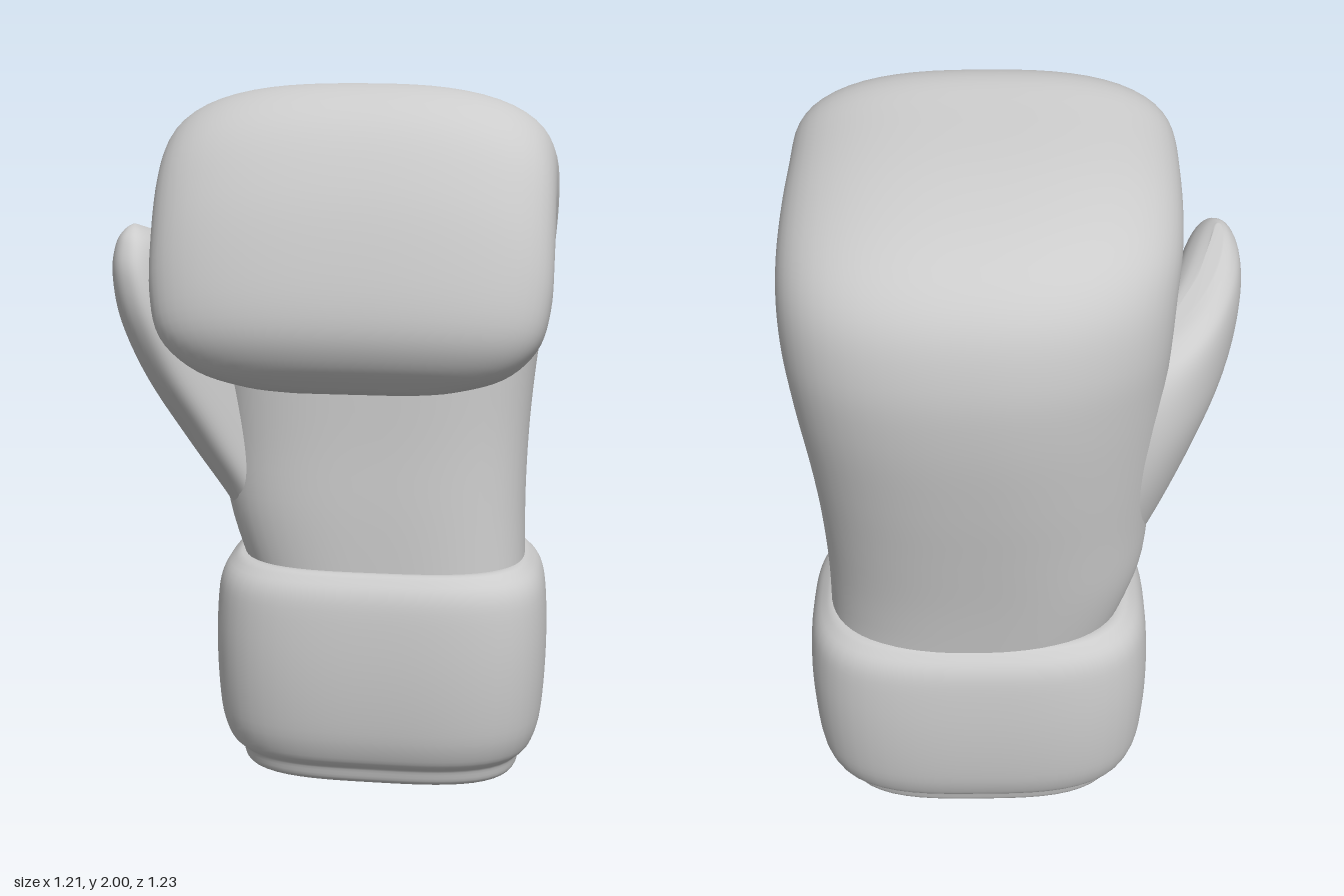
import * as THREE from 'three';

const AROUND = 72;

// Catmull-Rom interpolation of whole table rows
function smoothRows(rows, steps) {
  const out = [];
  const at = (i) => rows[Math.max(0, Math.min(rows.length - 1, i))];
  for (let i = 0; i < rows.length - 1; i++) {
    for (let s = 0; s < steps; s++) {
      const t = s / steps;
      out.push(at(i).map((p1, k) => {
        const p0 = at(i - 1)[k], p2 = at(i + 1)[k], p3 = at(i + 2)[k];
        return 0.5 * (2 * p1 + (p2 - p0) * t + (2 * p0 - 5 * p1 + 4 * p2 - p3) * t * t
          + (3 * p1 - p0 - 3 * p2 + p3) * t * t * t);
      }));
    }
  }
  out.push(rows[rows.length - 1]);
  return out;
}

// Closed superellipse ring; exponent(c, s) picks the squareness of each corner
function ring(exponent, place) {
  return Array.from({ length: AROUND }, (_, j) => {
    const a = (j / AROUND) * Math.PI * 2, c = Math.cos(a), s = Math.sin(a);
    const n = exponent(c, s);
    const r = Math.pow(Math.pow(Math.abs(c), n) + Math.pow(Math.abs(s), n), -1 / n);
    return place(c * r, s * r);
  });
}

// Skin over a stack of rings, with optional fans closing the ends
function loft(rings, capStart, capEnd) {
  const positions = [], index = [];
  rings.forEach((r) => r.forEach((p) => positions.push(p.x, p.y, p.z)));
  for (let i = 0; i < rings.length - 1; i++) {
    for (let j = 0; j < AROUND; j++) {
      const k = (j + 1) % AROUND;
      const a = i * AROUND + j, b = i * AROUND + k;
      index.push(a, b, b + AROUND, a, b + AROUND, a + AROUND);
    }
  }
  const cap = (i, flip) => {
    const centre = new THREE.Vector3();
    rings[i].forEach((p) => centre.addScaledVector(p, 1 / AROUND));
    const m = positions.length / 3;
    positions.push(centre.x, centre.y, centre.z);
    for (let j = 0; j < AROUND; j++) {
      const a = i * AROUND + j, b = i * AROUND + ((j + 1) % AROUND);
      if (flip) index.push(b, a, m); else index.push(a, b, m);
    }
  };
  if (capStart) cap(0, true);
  if (capEnd) cap(rings.length - 1, false);
  const g = new THREE.BufferGeometry();
  g.setAttribute('position', new THREE.Float32BufferAttribute(positions, 3));
  g.setIndex(index);
  g.computeVertexNormals();
  return g;
}

// Hand: sections run from the palm side to the knuckle side and curl over.
// palm z, palm y, knuckle z, knuckle y, x min, x max, corner squareness
const HAND = [
  [0.10, 0.60, -0.48, 0.60, -0.27, 0.54, 2.7],
  [0.095, 0.80, -0.51, 0.80, -0.335, 0.535, 2.4],
  [0.085, 1.00, -0.545, 1.00, -0.35, 0.54, 2.2],
  [0.08, 1.18, -0.58, 1.20, -0.36, 0.555, 2.1],
  [0.075, 1.36, -0.61, 1.42, -0.37, 0.58, 2.05],
  [0.08, 1.46, -0.61, 1.60, -0.38, 0.597, 2.1],
  [0.10, 1.51, -0.56, 1.76, -0.39, 0.605, 2.2],
  [0.13, 1.535, -0.43, 1.87, -0.405, 0.607, 2.4],
  [0.16, 1.54, -0.20, 1.945, -0.415, 0.605, 2.6],
  [0.19, 1.535, 0.08, 1.985, -0.42, 0.60, 2.7],
  [0.22, 1.515, 0.27, 1.997, -0.42, 0.60, 2.7],
  [0.25, 1.47, 0.42, 1.92, -0.42, 0.60, 2.7],
  [0.27, 1.42, 0.525, 1.76, -0.42, 0.60, 2.7],
  [0.30, 1.36, 0.59, 1.58, -0.415, 0.595, 2.7],
  [0.33, 1.305, 0.617, 1.43, -0.385, 0.565, 2.7],
  [0.38, 1.255, 0.59, 1.33, -0.295, 0.485, 2.7],
  [0.43, 1.238, 0.53, 1.265, -0.165, 0.36, 2.6],
  [0.46, 1.235, 0.49, 1.243, -0.05, 0.25, 2.4],
];

function handGeometry() {
  const rings = smoothRows(HAND, 5).map(([iz, iy, oz, oy, x0, x1, n]) => ring(
    (c, s) => (s < 0 ? 3 : c < 0 ? n : Math.max(n, 2.6)),
    (u, v) => new THREE.Vector3(
      (x0 + x1) / 2 + u * (x1 - x0) / 2,
      (iy + oy) / 2 + v * (oy - iy) / 2,
      (iz + oz) / 2 + v * (oz - iz) / 2,
    ),
  ));
  return loft(rings, false, true);
}

// Thumb: back point xyz (sunk in the hand), front point xyz, half thickness, bow
const THUMB = [
  [-0.18, 0.64, -0.34, -0.19, 0.64, -0.04, 0.05, 0.00],
  [-0.18, 0.79, -0.36, -0.26, 0.80, -0.01, 0.08, 0.01],
  [-0.21, 0.95, -0.38, -0.36, 1.00, 0.085, 0.10, 0.02],
  [-0.25, 1.12, -0.40, -0.45, 1.20, 0.19, 0.11, 0.03],
  [-0.28, 1.26, -0.40, -0.505, 1.37, 0.25, 0.11, 0.045],
  [-0.30, 1.38, -0.38, -0.53, 1.50, 0.255, 0.10, 0.05],
  [-0.32, 1.46, -0.34, -0.535, 1.58, 0.22, 0.085, 0.045],
  [-0.34, 1.50, -0.28, -0.535, 1.615, 0.175, 0.055, 0.04],
  [-0.37, 1.52, -0.22, -0.535, 1.625, 0.13, 0.02, 0.03],
];

function thumbGeometry() {
  const rings = smoothRows(THUMB, 5).map(([ax, ay, az, bx, by, bz, t, bow]) => {
    const back = new THREE.Vector3(ax, ay, az), front = new THREE.Vector3(bx, by, bz);
    const mid = back.clone().add(front).multiplyScalar(0.5);
    const half = front.clone().sub(mid);
    const side = new THREE.Vector3(-half.z, 0, half.x).normalize();
    return ring(() => 2.5, (u, v) => mid.clone().addScaledVector(half, v)
      .addScaledVector(side, u * t + bow * (1 - v * v)));
  });
  return loft(rings, true, true);
}

// Cuff: y, half width, half depth; starts inside the opening, round the lip, up outside
const CUFF = [
  [1.05, 0.20, 0.12], [1.00, 0.32, 0.19], [0.90, 0.36, 0.215], [0.50, 0.37, 0.235],
  [0.03, 0.37, 0.235], [0.005, 0.378, 0.243], [0, 0.39, 0.255], [0.005, 0.402, 0.267],
  [0.02, 0.412, 0.28], [0.05, 0.418, 0.288], [0.062, 0.426, 0.297], [0.075, 0.44, 0.311],
  [0.10, 0.457, 0.326], [0.16, 0.475, 0.344], [0.25, 0.484, 0.354], [0.35, 0.488, 0.358],
  [0.45, 0.487, 0.356], [0.55, 0.479, 0.348], [0.60, 0.464, 0.335], [0.63, 0.44, 0.314],
  [0.648, 0.415, 0.294], [0.645, 0.38, 0.265],
];

function cuffGeometry() {
  const rings = smoothRows(CUFF, 3).map(([y, a, b]) => ring(
    () => 3.2,
    (u, v) => new THREE.Vector3(0.12 + u * a, Math.max(0, y), -0.182 - v * b),
  ));
  return loft(rings, true, false);
}

export function createModel() {
  const group = new THREE.Group();
  group.name = 'boxingGlove';
  const material = new THREE.MeshStandardMaterial({ color: 0xcccccc, side: THREE.DoubleSide });
  const parts = { hand: handGeometry(), thumb: thumbGeometry(), cuff: cuffGeometry() };
  for (const [name, geometry] of Object.entries(parts)) {
    const mesh = new THREE.Mesh(geometry, material);
    mesh.name = name;
    group.add(mesh);
  }
  return group;
}
